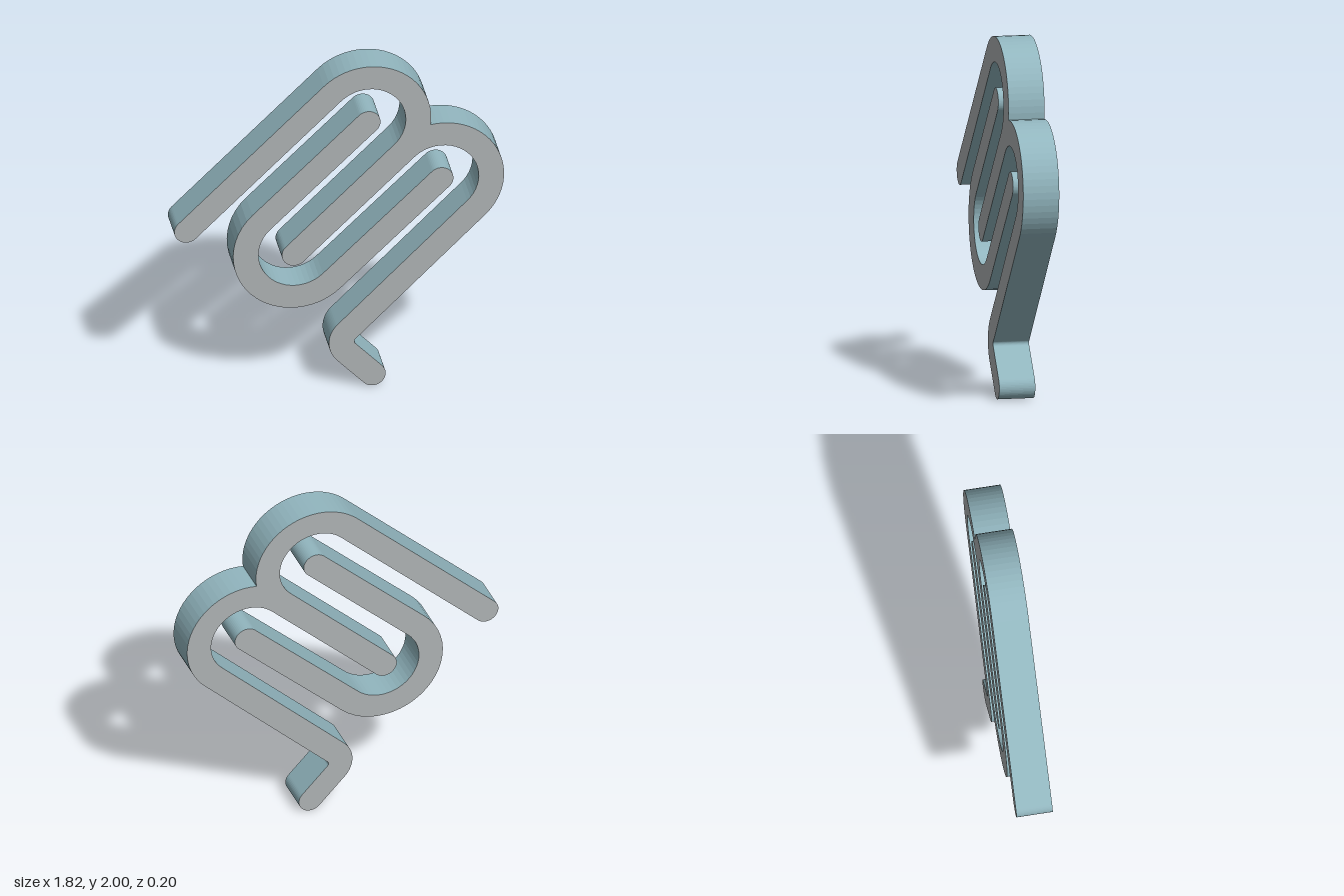
import * as THREE from 'three';

const DEPTH = 0.2;
const BAR = 0.07, INNER = 0.21, OUTER = 0.35; // half bar width, loop radii

// Adds an arc (degrees) to a shape, joined to the previous point by a straight edge
function arc(shape, [x, y], r, from, to, clockwise) {
  const rad = THREE.MathUtils.degToRad;
  shape.absarc(x, y, r, rad(from), rad(to), clockwise);
}

export function createModel() {
  const faceGrey = new THREE.MeshStandardMaterial({ color: 0xacb1b2 });
  faceGrey.name = 'faceGrey';
  const edgeTeal = new THREE.MeshStandardMaterial({ color: 0x92b6bf });
  edgeTeal.name = 'edgeTeal';

  const group = new THREE.Group();
  group.name = 'bentBarEmblem';

  function addBar(name, shape) {
    const geo = new THREE.ExtrudeGeometry(shape, { depth: DEPTH, bevelEnabled: false, curveSegments: 12 });
    geo.translate(0, 0, -DEPTH / 2);
    const mesh = new THREE.Mesh(geo, [faceGrey, edgeTeal]);
    mesh.name = name;
    group.add(mesh);
  }

  // All bars slope at 44 degrees, so their edges lie at 134 and -46 from each centre
  const upperLoop = [0.155, 1.652], rightLoop = [0.558, 1.26], lowerLoop = [-0.24, 0.882];
  const armEnd = [-0.845, 1.07], middleEnd = [-0.25, 0.866];
  const bend = [0.1, 0.288], footEnd = [0.183, 0.072];

  // Double hook: long arm, two loops meeting in the middle finger, stem and foot
  const hook = new THREE.Shape();
  arc(hook, armEnd, BAR, 314, 134, true);
  arc(hook, upperLoop, OUTER, 134, -7.5, true);
  arc(hook, rightLoop, OUTER, 99, -46, true);
  arc(hook, bend, 0.02, 134, 224, false);
  arc(hook, footEnd, BAR, 44, -136, true);
  arc(hook, bend, 0.16, 224, 134, true);
  arc(hook, rightLoop, INNER, -46, 134, false);
  arc(hook, middleEnd, BAR, 314, 134, true);
  arc(hook, upperLoop, INNER, -46, 134, false);
  hook.closePath();
  addBar('doubleHook', hook);

  // U-shaped bar interlocking with the hook
  const uBar = new THREE.Shape();
  arc(uBar, upperLoop, BAR, 134, -46, true);
  arc(uBar, lowerLoop, INNER, 134, 314, false);
  arc(uBar, rightLoop, BAR, 134, -46, true);
  arc(uBar, lowerLoop, OUTER, 314, 134, true);
  uBar.closePath();
  addBar('uBar', uBar);

  return group;
}
